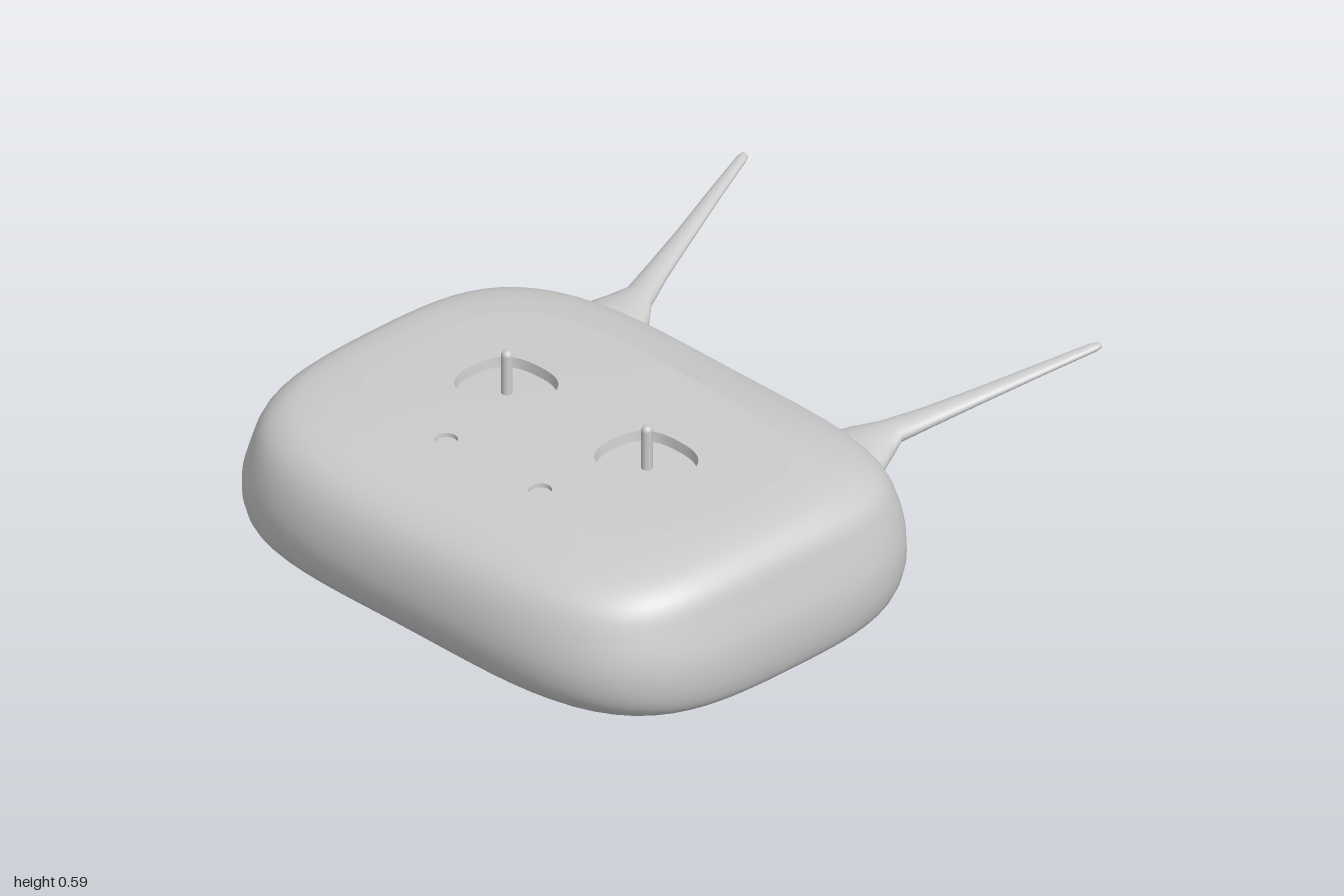
import * as THREE from 'three';

const V3 = (x, y, z) => new THREE.Vector3(x, y, z);
const SEG = 96;
const MID_Z = 0.3;

// Height of the gently domed top face
const crown = (x, z) => 0.49 - 0.03 * x * x - 0.08 * (z - MID_Z) ** 2;

// Unit rounded-square outline, running from +x towards +z
function outline(n, count = SEG) {
  return Array.from({ length: count }, (_, i) => {
    const a = (i / count) * Math.PI * 2;
    const c = Math.cos(a), s = Math.sin(a);
    const r = (Math.abs(c) ** n + Math.abs(s) ** n) ** (-1 / n);
    return [c * r, s * r];
  });
}

function buildGeometry(points, index) {
  const g = new THREE.BufferGeometry().setFromPoints(points);
  g.setIndex(index);
  g.computeVertexNormals();
  return g;
}

// Skin over closed rings of equal point count, closed at the far end by a point
function loft(rings, end) {
  const n = rings[0].length;
  const points = rings.flat();
  const index = [];
  for (let r = 0; r < rings.length - 1; r++) {
    for (let i = 0; i < n; i++) {
      const j = (i + 1) % n;
      const a = r * n + i, b = r * n + j, c = a + n, d = b + n;
      index.push(a, b, c, b, d, c);
    }
  }
  const last = (rings.length - 1) * n;
  points.push(end);
  for (let i = 0; i < n; i++) index.push(last + i, last + ((i + 1) % n), points.length - 1);
  return buildGeometry(points, index);
}

// Shell rings, top to bottom: [half width, height at sides, front z, height, back z, height]
const SHELL = [
  [0.60, 0.479, 0.70, 0.477, -0.08, 0.478],
  [0.70, 0.470, 0.82, 0.452, -0.16, 0.452],
  [0.76, 0.452, 0.90, 0.425, -0.235, 0.422],
  [0.805, 0.41, 0.95, 0.385, -0.30, 0.385],
  [0.83, 0.33, 0.985, 0.32, -0.34, 0.335],
  [0.853, 0.22, 1.0, 0.22, -0.362, 0.20],
  [0.845, 0.11, 0.98, 0.14, -0.352, 0.12],
  [0.82, 0.055, 0.93, 0.09, -0.31, 0.07],
  [0.75, 0.03, 0.82, 0.045, -0.15, 0.04],
  [0.50, 0.012, 0.60, 0.015, 0.05, 0.015],
];

function shellRings() {
  const curve = (k) => new THREE.CatmullRomCurve3(SHELL.map((r) => V3(r[k], r[k + 1], 0)));
  const [side, front, back] = [0, 2, 4].map(curve);
  const unit = outline(3.7);
  const steps = 40;
  return Array.from({ length: steps + 1 }, (_, k) => {
    const s = side.getPoint(k / steps);
    const f = front.getPoint(k / steps);
    const b = back.getPoint(k / steps);
    return unit.map(([u, v]) => {
      const end = v > 0 ? f : b;
      const w = (v * v) / (u * u + v * v);
      return V3(s.x * u, s.y * (1 - w) + end.y * w, MID_Z + Math.abs(v) * (end.x - MID_Z));
    });
  });
}

// Rim of an opening in the top face
const rim = (o, scale, drop) => outline(o.n, 40).map(([u, v]) => {
  const x = o.x + u * o.rx * scale, z = o.z + v * o.rz * scale;
  return V3(x, crown(x, z) - drop, z);
});

// Top face with openings cut through it
function topFace(border, openings) {
  const holes = openings.map((o) => rim(o, 1, 0));
  const flat = (ring) => ring.map((p) => new THREE.Vector2(p.x, p.z));
  const points = [...border, ...holes.flat()];
  const index = [];
  for (const [a, b, c] of THREE.ShapeUtils.triangulateShape(flat(border), holes.map(flat))) {
    const up = V3().subVectors(points[b], points[a])
      .cross(V3().subVectors(points[c], points[a])).y > 0;
    index.push(...(up ? [a, b, c] : [a, c, b]));
  }
  const g = buildGeometry(points, index);
  points.forEach((p, i) => {
    const n = V3(0.06 * p.x, 1, 0.16 * (p.z - MID_Z)).normalize();
    g.attributes.normal.setXYZ(i, n.x, n.y, n.z);
  });
  return g;
}

// Recess below an opening; the doubled ring keeps the floor edge crisp
function recess(o) {
  const rings = [rim(o, 1, 0), rim(o, 0.97, o.depth), rim(o, 0.97, o.depth), rim(o, 0.5, o.depth)];
  return loft(rings.map((r) => r.reverse()), V3(o.x, crown(o.x, o.z) - o.depth, o.z));
}

// Antenna stations: [x, y, z, half width, half height]
const ANTENNA = [
  [0.47, 0.335, -0.27, 0.12, 0.055],
  [0.475, 0.352, -0.345, 0.085, 0.037],
  [0.487, 0.366, -0.40, 0.05, 0.028],
  [0.527, 0.386, -0.51, 0.039, 0.022],
  [0.577, 0.414, -0.66, 0.03, 0.017],
  [0.635, 0.448, -0.83, 0.023, 0.013],
  [0.683, 0.475, -0.975, 0.017, 0.011],
  [0.688, 0.478, -0.993, 0.012, 0.008],
];

function antenna(side) {
  const rings = ANTENNA.map(([x, y, z, w, h]) => outline(2, 24).map(
    ([c, s]) => V3(side * x + w * s, y + h * c, z)));
  return loft(rings, V3(side * 0.69, 0.479, -1));
}

export function createModel() {
  const group = new THREE.Group();
  const material = new THREE.MeshStandardMaterial({ color: 0xcccccc });
  const add = (name, geometry) => {
    const mesh = new THREE.Mesh(geometry, material);
    mesh.name = name;
    group.add(mesh);
    return mesh;
  };

  const openings = [];
  for (const [name, side] of [['left', 1], ['right', -1]]) {
    const well = { x: side * 0.272, z: 0.307, rx: 0.133, rz: 0.125, n: 2.7, depth: 0.03 };
    const button = { x: side * 0.183, z: 0.62, rx: 0.032, rz: 0.032, n: 2, depth: 0.012 };
    openings.push(well, button);
    add(name + 'StickWell', recess(well));
    add(name + 'Button', recess(button));

    // Control stick standing on the well floor
    add(name + 'Stick', new THREE.CapsuleGeometry(0.016, 0.13, 8, 20))
      .position.set(side * 0.272, 0.509, 0.305);

    add(name + 'Antenna', antenna(side));
  }

  // Pillow-shaped housing
  const rings = shellRings();
  add('housing', loft(rings, V3(0, 0, MID_Z)));
  add('topFace', topFace(rings[0], openings));
  return group;
}
